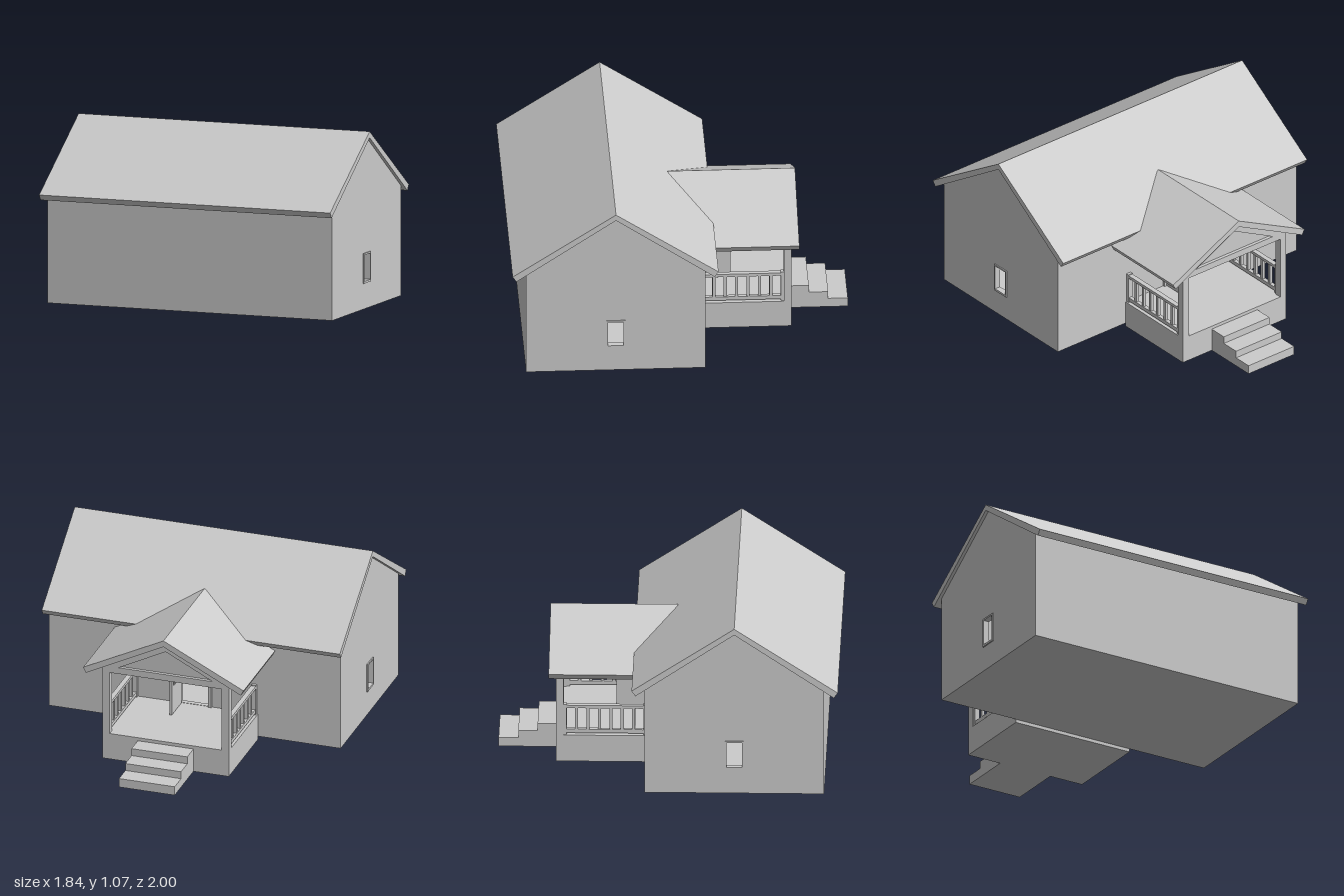
import * as THREE from 'three';

const grey = new THREE.MeshStandardMaterial({ color: 0xcccccc, flatShading: true, side: THREE.DoubleSide });

export function createModel() {
  const model = new THREE.Group();
  model.name = 'cottage';

  const add = (name, geometry, parent = model) => {
    const mesh = new THREE.Mesh(geometry, grey);
    mesh.name = name;
    parent.add(mesh);
    return mesh;
  };
  const group = (name) => {
    const g = new THREE.Group();
    g.name = name;
    model.add(g);
    return g;
  };
  // Box given by its limits on each axis
  const box = (name, [x0, x1], [y0, y1], [z0, z1], parent) =>
    add(name, new THREE.BoxGeometry(x1 - x0, y1 - y0, z1 - z0)
      .translate((x0 + x1) / 2, (y0 + y1) / 2, (z0 + z1) / 2), parent);

  const outline = (points, holes = []) => {
    const shape = new THREE.Shape(points.map(([a, b]) => new THREE.Vector2(a, b)));
    for (const [a0, a1, b0, b1] of holes) {
      shape.holes.push(new THREE.Path([[a0, b0], [a0, b1], [a1, b1], [a1, b0]]
        .map(([a, b]) => new THREE.Vector2(a, b))));
    }
    return shape;
  };
  // Profile in x, y running from z0 to z1
  const alongZ = (shape, z0, z1) =>
    new THREE.ExtrudeGeometry(shape, { depth: z1 - z0, bevelEnabled: false }).translate(0, 0, z0);
  // Profile in z, y running from x0 to x1
  const alongX = (shape, x0, x1) =>
    new THREE.ExtrudeGeometry(shape, { depth: x1 - x0, bevelEnabled: false })
      .rotateY(-Math.PI / 2).translate(x1, 0, 0);

  // House shell
  const house = group('house');
  box('houseFloor', [-0.9, 0.9], [0.02, 0.04], [-0.13, 0.92], house);
  box('frontWall', [-0.87, 0.87], [0.04, 0.69], [0.89, 0.92], house);
  const gable = outline(
    [[-0.13, 0.02], [0.92, 0.02], [0.92, 0.69], [0.395, 1.035], [-0.13, 0.69]],
    [[0.35, 0.44, 0.185, 0.34]]);
  const frame = outline(
    [[0.34, 0.172], [0.45, 0.172], [0.45, 0.35], [0.34, 0.35]],
    [[0.35, 0.44, 0.185, 0.34]]);
  for (const s of [-1, 1]) {
    const side = s < 0 ? 'right' : 'left';
    add(side + 'GableWall', alongX(gable, s * 0.885 - 0.015, s * 0.885 + 0.015), house);
    add(side + 'WindowFrame', alongX(frame, s * 0.9 - 0.007, s * 0.9 + 0.007), house);
  }
  const backWall = outline(
    [[-0.87, 0.04], [0.87, 0.04], [0.87, 0.69], [-0.87, 0.69]],
    [[-0.085, 0.085, 0.167, 0.49]]);
  add('backWall', alongZ(backWall, -0.13, -0.1), house);

  // Main roof with square-cut eaves
  add('mainRoof', alongX(outline([
    [-0.205, 0.668], [0.395, 1.065], [1, 0.668], [0.978, 0.635], [0.395, 1.028], [-0.183, 0.635],
  ]), -0.92, 0.92));

  // Porch base and steps
  box('porchBase', [-0.39, 0.39], [0, 0.165], [-0.66, -0.13]);
  const steps = group('steps');
  [[0.145, -0.66, -0.772], [0.1, -0.772, -0.885], [0.055, -0.885, -1]].forEach(([h, z1, z0], i) =>
    box('step' + (i + 1), [-0.172, 0.172], [0, h], [z0, z1], steps));

  // Porch roof, its back edge tapered into the main roof
  const porchRoof = alongZ(outline([
    [0, 0.837], [-0.495, 0.59], [-0.478, 0.557], [0, 0.798], [0.478, 0.557], [0.495, 0.59],
  ]), -0.7, 0);
  const p = porchRoof.attributes.position;
  for (let i = 0; i < p.count; i++) {
    if (p.getZ(i) > -0.3) p.setZ(i, Math.abs(p.getX(i)) < 0.01 ? 0.045 : -0.13);
  }
  add('porchRoof', porchRoof);

  // Porch gable: recessed panel behind a triangular frame
  const panel = outline([[-0.385, 0.56], [0.385, 0.56], [0.385, 0.608], [0, 0.802], [-0.385, 0.608]]);
  add('porchGablePanel', alongZ(panel, -0.64, -0.62));
  const gableFrame = outline([[-0.39, 0.56], [0.39, 0.56], [0.39, 0.605], [0, 0.802], [-0.39, 0.605]]);
  gableFrame.holes.push(new THREE.Path(
    [[-0.29, 0.6], [0, 0.748], [0.29, 0.6]].map(([x, y]) => new THREE.Vector2(x, y))));
  add('porchGableFrame', alongZ(gableFrame, -0.66, -0.64));
  box('porchCeiling', [-0.35, 0.35], [0.575, 0.585], [-0.62, -0.13]);

  // Posts, beams and railings on both sides
  for (const s of [-1, 1]) {
    const side = s < 0 ? 'right' : 'left';
    const rail = group(side + 'PorchSide');
    const span = (inner, outer) => (s < 0 ? [-outer, -inner] : [inner, outer]);
    box('post', span(0.345, 0.39), [0.165, 0.56], [-0.66, -0.615], rail);
    box('beam', span(0.345, 0.39), [0.56, 0.61], [-0.64, -0.13], rail);
    box('topRail', span(0.352, 0.382), [0.332, 0.35], [-0.615, -0.13], rail);
    box('bottomRail', span(0.355, 0.379), [0.175, 0.198], [-0.615, -0.13], rail);
    for (const z of [-0.606, -0.139]) {
      box('railEndPost', span(0.352, 0.382), [0.165, 0.355], [z - 0.009, z + 0.009], rail);
    }
    for (let i = 1; i < 7; i++) {
      const z = -0.139 - i * 0.467 / 7;
      box('baluster', span(0.358, 0.376), [0.198, 0.332], [z - 0.009, z + 0.009], rail);
    }
  }

  // Open door with glazing bars, and its frame
  const door = group('door');
  const panes = [];
  for (let c = 0; c < 4; c++) {
    for (let r = 0; r < 3; r++) {
      const z = -0.288 + c * 0.031;
      const y = 0.345 + r * 0.044;
      panes.push([z, z + 0.022, y, y + 0.034]);
    }
  }
  add('doorLeaf', alongX(outline(
    [[-0.318, 0.17], [-0.143, 0.17], [-0.143, 0.49], [-0.318, 0.49]], panes), 0.078, 0.092), door);
  for (const s of [-1, 1]) {
    box('doorJamb', [s * 0.095 - 0.01, s * 0.095 + 0.01], [0.165, 0.51], [-0.142, -0.1], door);
  }
  box('doorHead', [-0.085, 0.085], [0.49, 0.51], [-0.142, -0.1], door);

  return model;
}
